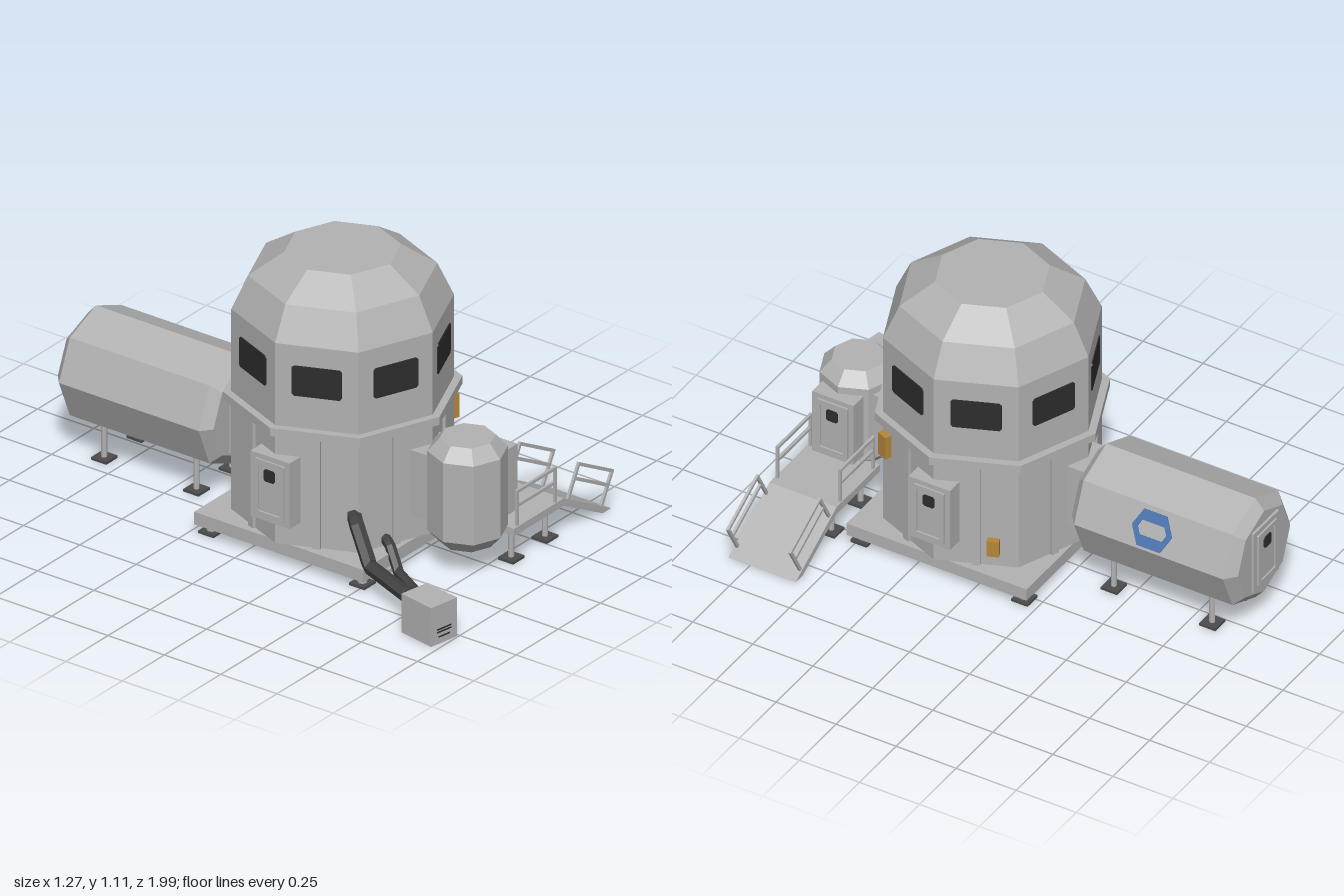
import * as THREE from 'three';

const mat = (name, color) => new THREE.MeshStandardMaterial({ name, color, flatShading: true });

export function createModel() {
  const hull = mat('hull grey', 0xb2b2b2);
  const glass = mat('window black', 0x2d2d2d);
  const rubber = mat('pipe dark grey', 0x424242);
  const padDark = mat('foot pad grey', 0x4c4c4c);
  const amber = mat('amber', 0xb5873a);
  const blue = mat('marking blue', 0x4c74b2);

  const model = new THREE.Group();
  model.name = 'habitat';

  const add = (parent, name, geo, material, x = 0, y = 0, z = 0) => {
    const m = new THREE.Mesh(geo, material);
    m.name = name;
    m.position.set(x, y, z);
    parent.add(m);
    return m;
  };
  const box = (parent, name, w, h, d, material, x, y, z) =>
    add(parent, name, new THREE.BoxGeometry(w, h, d), material, x, y, z);
  const group = (parent, name, x = 0, y = 0, z = 0, ry = 0) => {
    const g = new THREE.Group();
    g.name = name;
    g.position.set(x, y, z);
    g.rotation.y = ry;
    parent.add(g);
    return g;
  };
  const octagonLathe = (profile) =>
    new THREE.LatheGeometry(profile.map(([r, y]) => new THREE.Vector2(r, y)), 8);
  const plate = (points, depth, hole) => {
    const s = new THREE.Shape(points.map(([x, y]) => new THREE.Vector2(x, y)));
    if (hole) s.holes.push(new THREE.Path(hole.map(([x, y]) => new THREE.Vector2(x, y))));
    return new THREE.ExtrudeGeometry(s, { depth, bevelEnabled: false });
  };
  const chamfered = (w, h, c) => [
    [-w + c, -h], [w - c, -h], [w, -h + c], [w, h - c],
    [w - c, h], [-w + c, h], [-w, h - c], [-w, -h + c],
  ];

  // Door whose outer face lies at local z = front
  const door = (parent, name, front, depth, ry) => {
    const g = group(parent, name, 0, 0.315, 0, ry);
    box(g, 'doorFrame', 0.172, 0.262, depth, hull, 0, 0, front - depth / 2);
    const rim = plate(chamfered(0.065, 0.112, 0.004), 0.008, chamfered(0.048, 0.095, 0.004));
    add(g, 'doorRim', rim, hull, 0, 0, front);
    box(g, 'doorPanel', 0.092, 0.186, 0.006, hull, 0, 0, front);
    add(g, 'doorWindow', plate(chamfered(0.024, 0.024, 0.007), 0.004), glass, 0, 0.055, front + 0.003);
    return g;
  };

  // Support leg with a flat pad
  const leg = (x, z, top, r = 0.011) => {
    const g = group(model, 'leg', x, 0, z);
    add(g, 'legPost', new THREE.CylinderGeometry(r, r, top, 8), hull, 0, top / 2, 0);
    box(g, 'legPad', 0.068, 0.01, 0.068, padDark, 0, 0.005, 0);
  };

  // Main tower
  const cx = -0.06, cz = 0.15;
  box(model, 'basePlate', 0.76, 0.05, 0.75, hull, cx, 0.065, cz);
  for (const x of [-0.33, 0.33]) for (const z of [-0.335, 0.335]) leg(cx + x, cz + z, 0.05, 0.018);

  const tower = group(model, 'tower', cx, 0, cz);
  add(tower, 'lowerHull', octagonLathe([[0.4, 0.09], [0.4, 0.54]]), hull);
  add(tower, 'deckRing', octagonLathe([[0, 0.53], [0.43, 0.53], [0.43, 0.562], [0, 0.562]]), hull);
  add(tower, 'dome', octagonLathe([[0.4, 0.56], [0.4, 0.89], [0.34, 1.02], [0.21, 1.105], [0, 1.105]]), hull);

  // Windows and ribs on each of the eight faces
  const apothem = 0.4 * Math.cos(Math.PI / 8);
  for (let i = 0; i < 8; i++) {
    const side = group(tower, 'towerSide', 0, 0, 0, Math.PI / 8 + (i * Math.PI) / 4);
    add(side, 'window', plate(chamfered(0.092, 0.06, 0.008), 0.008), glass, 0, 0.75, apothem - 0.004);
    box(side, 'rib', 0.03, 0.44, 0.024, hull, 0, 0.31, apothem);
  }
  door(tower, 'leftDoor', 0.43, 0.07, Math.PI / 2);
  door(tower, 'rightDoor', 0.43, 0.07, -Math.PI / 2);

  // Amber equipment boxes
  for (const [angle, x, y, h] of [[67.5, -0.125, 0.437, 0.095], [112.5, 0.063, 0.178, 0.066]]) {
    const side = group(tower, 'equipmentMount', 0, 0, 0, THREE.MathUtils.degToRad(angle));
    box(side, 'equipmentBox', 0.045, h, 0.036, amber, x, y, apothem + 0.008);
  }

  // Airlock
  const airlock = group(model, 'airlock', cx, 0, 0.705);
  add(airlock, 'airlockHull', octagonLathe([
    [0, 0.11], [0.1, 0.11], [0.145, 0.16], [0.145, 0.475], [0.1, 0.525], [0, 0.525],
  ]), hull);
  door(airlock, 'airlockDoor', 0.18, 0.08, Math.PI / 2);
  box(model, 'airlockTunnel', 0.172, 0.262, 0.17, hull, cx, 0.315, 0.55);

  // Rear tank module
  const tank = group(model, 'rearModule', cx, 0.315, 0);
  const tankHull = add(tank, 'rearHull', octagonLathe([
    [0, 0.29], [0.178, 0.29], [0.22, 0.325], [0.22, 0.945], [0.178, 0.982], [0, 0.982],
  ]), hull);
  tankHull.rotation.x = -Math.PI / 2;
  box(model, 'rearTunnel', 0.172, 0.262, 0.17, hull, cx, 0.315, -0.235);
  door(group(model, 'rearEnd', cx, 0, 0), 'rearDoor', 0.992, 0.02, Math.PI);
  for (const x of [-0.105, 0.105]) for (const z of [-0.42, -0.83]) leg(cx + x, z, 0.17);

  // Hexagonal painted ring on the module's upper side
  const hexagon = (w, inset, h) => [[-w, 0], [-inset, -h], [inset, -h], [w, 0], [inset, h], [-inset, h]];
  const tilt = group(tank, 'markingMount', 0, 0, -0.632);
  tilt.rotation.z = Math.PI / 8;
  const ring = add(tilt, 'hullMarking', plate(hexagon(0.083, 0.048, 0.069), 0.006, hexagon(0.06, 0.046, 0.028)),
    blue, 0.22 * Math.cos(Math.PI / 8) - 0.002, -0.004, 0);
  ring.rotation.y = Math.PI / 2;

  // Entrance platform and ramp
  const ramp = plate([[0.035, 0.125], [0.33, 0.125], [0.56, 0], [0.61, 0], [0.33, 0.155], [0.035, 0.155]], 0.28);
  add(model, 'platformAndRamp', ramp, hull, 0, 0, 0.56);
  for (const x of [0.085, 0.285]) for (const z of [0.61, 0.79]) leg(x, z, 0.13);

  // Railings: two bars between two posts
  const railing = (x, y, z, length, height, slope) => {
    const g = group(model, 'railing', x, y, z);
    g.rotation.z = slope;
    for (const px of [0, length]) box(g, 'railPost', 0.012, height, 0.01, hull, px, height / 2, 0);
    for (const py of [height, height * 0.6]) box(g, 'railBar', length + 0.012, 0.012, 0.01, hull, length / 2, py, 0);
  };
  const slope = -Math.atan2(0.155, 0.28);
  for (const z of [0.57, 0.83]) {
    railing(0.066, 0.15, z, 0.225, 0.14, 0);
    railing(0.365, 0.132, z, 0.226, 0.134, slope);
  }

  // Power unit with vents
  const unit = group(model, 'powerUnit', -0.557, 0, 0.907, -0.18);
  box(unit, 'powerBox', 0.125, 0.155, 0.155, hull, 0, 0.0775, 0);
  for (const [y, w] of [[0.058, 0.066], [0.047, 0.066], [0.028, 0.054]])
    box(unit, 'vent', w, 0.005, 0.004, glass, 0, y, 0.078);

  // Pipes from the power unit to the tower
  const pipe = (name, points, r) => {
    const path = new THREE.CatmullRomCurve3(points.map((p) => new THREE.Vector3(...p)), false, 'catmullrom', 0);
    add(model, name, new THREE.TubeGeometry(path, 28, r, 6), rubber);
  };
  pipe('upperPipe', [[-0.33, 0.235, 0.4], [-0.385, 0.228, 0.455], [-0.43, 0.105, 0.55], [-0.535, 0.085, 0.86]], 0.028);
  pipe('lowerPipe', [[-0.22, 0.125, 0.44], [-0.26, 0.11, 0.51], [-0.30, 0.035, 0.58], [-0.38, 0.04, 0.71], [-0.53, 0.105, 0.79], [-0.55, 0.105, 0.86]], 0.02);

  return model;
}
